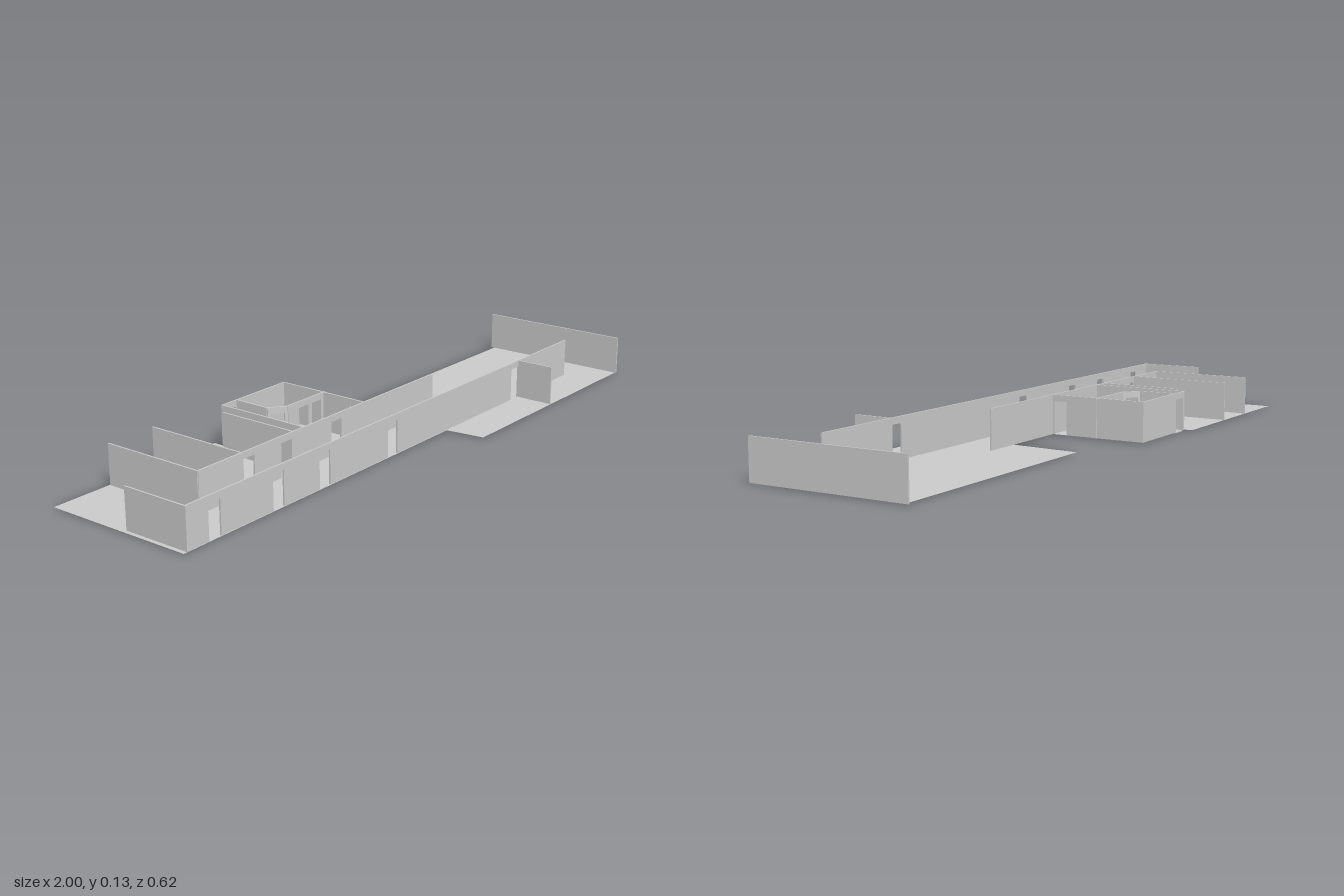
import * as THREE from 'three';

const BASE = 0.003, TOP = 0.128, DOOR = 0.108, THICK = 0.005;

export function createModel() {
  const model = new THREE.Group();
  const material = new THREE.MeshStandardMaterial({ color: 0xcccccc, flatShading: true, side: THREE.DoubleSide });

  const add = (name, geometry) => {
    const mesh = new THREE.Mesh(geometry, material);
    mesh.name = name;
    model.add(mesh);
    return mesh;
  };

  // Upright wall from one plan point to another; doors are [start, end] distances along it
  const wall = (name, [x1, z1], [x2, z2], doors = []) => {
    const length = Math.hypot(x2 - x1, z2 - z1);
    const shape = new THREE.Shape();
    shape.moveTo(0, BASE);
    for (const [a, b] of doors) {
      shape.lineTo(a, BASE);
      shape.lineTo(a, DOOR);
      shape.lineTo(b, DOOR);
      shape.lineTo(b, BASE);
    }
    shape.lineTo(length, BASE);
    shape.lineTo(length, TOP);
    shape.lineTo(0, TOP);
    const geometry = new THREE.ExtrudeGeometry(shape, { depth: THICK, bevelEnabled: false });
    geometry.translate(0, 0, -THICK / 2);
    const mesh = add(name, geometry);
    mesh.position.set(x1, 0, z1);
    mesh.rotation.y = -Math.atan2(z2 - z1, x2 - x1);
  };

  // Flat floor from plan points (x, z)
  const floor = (name, points) => {
    const shape = new THREE.Shape(points.map(([x, z]) => new THREE.Vector2(x, -z)));
    const geometry = new THREE.ShapeGeometry(shape);
    geometry.rotateX(-Math.PI / 2);
    geometry.translate(0, BASE, 0);
    add(name, geometry);
  };

  // Floors: classrooms with corridor and hall, then the entrance block
  floor('mainFloor', [
    [-1, -0.31], [-0.373, -0.31], [-0.373, 0.035], [0.15, 0.035], [0.165, -0.195],
    [1, -0.195], [1, 0.305], [0.165, 0.305], [0.15, 0.18], [-1, 0.18],
  ]);
  floor('entranceFloor', [[-0.365, -0.285], [-0.08, -0.285], [-0.08, 0.035], [-0.365, 0.035]]);

  // Corridor walls, with door positions given along x
  const alongX = (start, doors) => doors.map(([a, b]) => [a - start, b - start]);
  wall('frontWall', [-0.985, 0.175], [0.865, 0.175], alongX(-0.985, [
    [-0.905, -0.86], [-0.657, -0.613], [-0.463, -0.417], [-0.15, -0.103], [0.52, 0.563],
  ]));
  wall('corridorWall', [-0.795, 0.035], [0.272, 0.035], alongX(-0.795, [
    [-0.62, -0.575], [-0.463, -0.417], [-0.24, -0.193],
  ]));

  // End walls and cross partitions
  wall('leftEndWall', [0.9975, -0.207], [0.9975, 0.308]);
  wall('rightEndWall', [-0.985, -0.04], [-0.985, 0.18]);
  wall('hallPartition', [0.565, 0.175], [0.565, 0.302]);
  for (const [x, back] of [[-0.795, -0.308], [-0.625, -0.308], [-0.41, -0.235]]) {
    wall('roomPartition', [x, back], [x, 0.035]);
  }

  // Entrance block shell
  wall('entranceBackWall', [-0.365, -0.283], [-0.08, -0.283], alongX(-0.365, [[-0.355, -0.305]]));
  wall('entranceRightWall', [-0.363, -0.285], [-0.363, 0.035]);
  wall('entranceLeftWall', [-0.082, -0.285], [-0.082, 0.035], [[0.268, 0.312]]);

  // Small rooms inside the entrance block
  wall('lobbyWall', [-0.3, -0.283], [-0.3, -0.16]);
  wall('lobbyCornerWall', [-0.3, -0.16], [-0.25, -0.123], [[0.01, 0.052]]);
  wall('innerRoomWall', [-0.25, -0.123], [-0.075, -0.123], alongX(-0.25, [[-0.2, -0.157], [-0.14, -0.097]]));

  // Door sill at the back entrance
  add('doorSill', new THREE.BoxGeometry(0.05, 0.003, 0.006)).position.set(-0.33, 0.0015, -0.28);

  return model;
}
